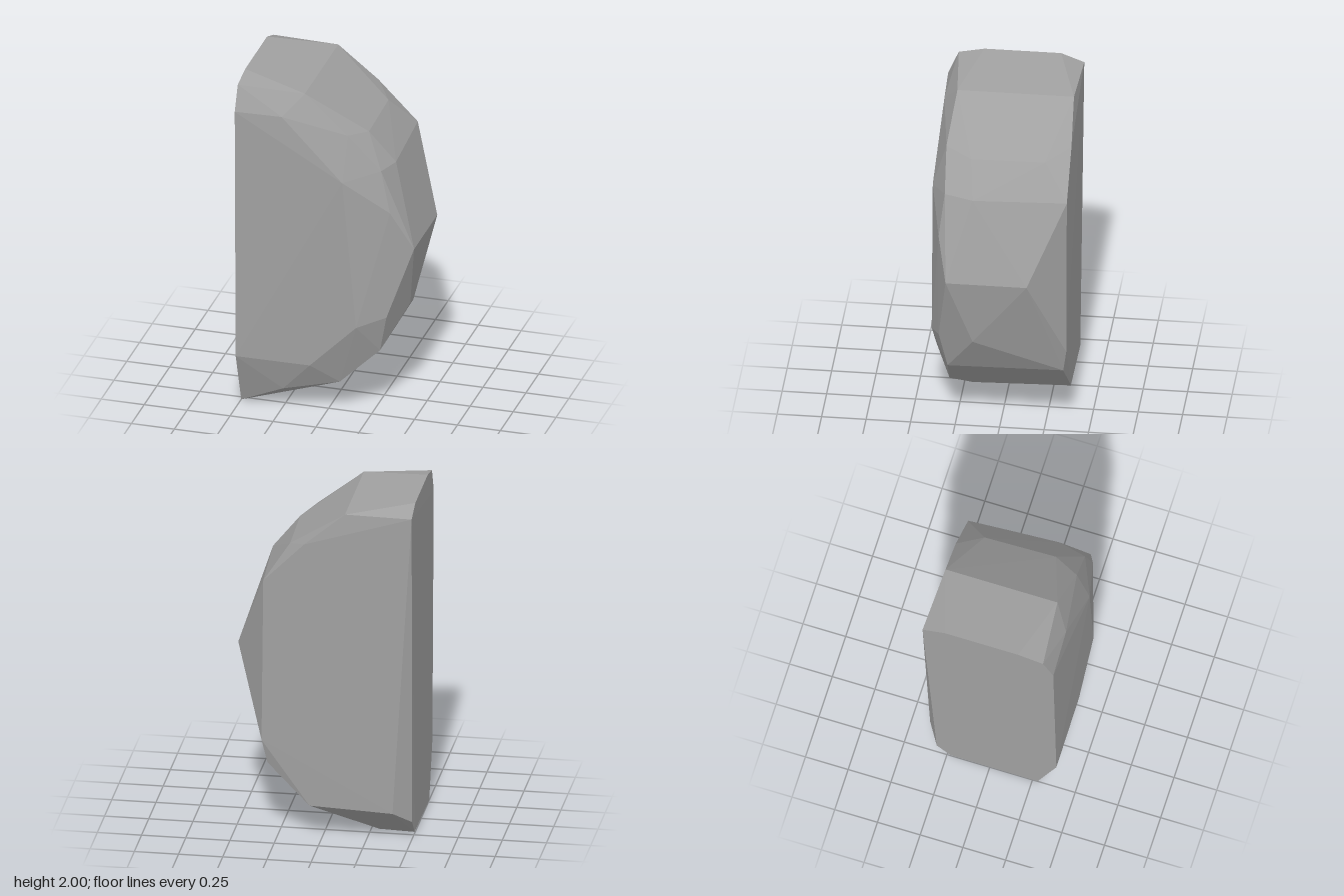
import * as THREE from 'three';
import { ConvexGeometry } from 'three/addons/geometries/ConvexGeometry.js';

// Faceted half-boulder: one flat side at -x, chipped faces around the rest.
export function createModel() {
  const stone = new THREE.MeshStandardMaterial({ color: 0xa0a0a0, flatShading: true });
  stone.name = 'stone grey';

  // Corners of the flat side
  const flatSide = [
    [-0.51, 2, 0.17], [-0.51, 2, -0.26], [-0.51, 1.97, 0.315], [-0.51, 1.83, 0.375], [-0.51, 1.95, -0.39],
    [-0.5, 0.32, 0.39], [-0.5, 0, 0.28], [-0.5, 0.01, -0.23], [-0.5, 0.1, -0.31],
  ];
  // Corners of the broad front face and its chipped rim
  const front = [
    [-0.24, 1.83, 0.365], [0.12, 1.48, 0.39], [0.2, 0.59, 0.387], [-0.07, 0.32, 0.387],
    [-0.13, 1.95, 0.28], [0.13, 1.74, 0.312], [0.32, 1.54, 0.3], [0.38, 1.3, 0.328],
    [0.36, 0.65, 0.33], [0.31, 0.42, 0.285], [0.08, 0.2, 0.3], [-0.24, 0.13, 0.335],
  ];
  // Corners along the rounded outer side
  const outer = [
    [0.21, 1.71, 0.165], [0.2, 1.71, -0.25], [0.36, 1.53, 0.14], [0.505, 1.07, 0.275], [0.505, 1.07, -0.18],
    [0.44, 0.66, 0.13], [0.07, 0.175, 0.17], [-0.3, 0.012, 0.13], [-0.3, 0.012, -0.22],
  ];
  // Corners of the back face
  const back = [
    [-0.13, 1.95, -0.375], [0.1, 1.76, -0.387], [0.33, 1.53, -0.387], [0.34, 0.57, -0.385],
    [0.31, 0.43, -0.365], [0.07, 0.19, -0.38], [-0.4, 0.17, -0.38],
  ];

  const corners = [...flatSide, ...front, ...outer, ...back].map((p) => new THREE.Vector3(...p));
  const rock = new THREE.Mesh(new ConvexGeometry(corners), stone);
  rock.name = 'rock';

  const model = new THREE.Group();
  model.name = 'halfBoulder';
  model.add(rock);
  return model;
}
